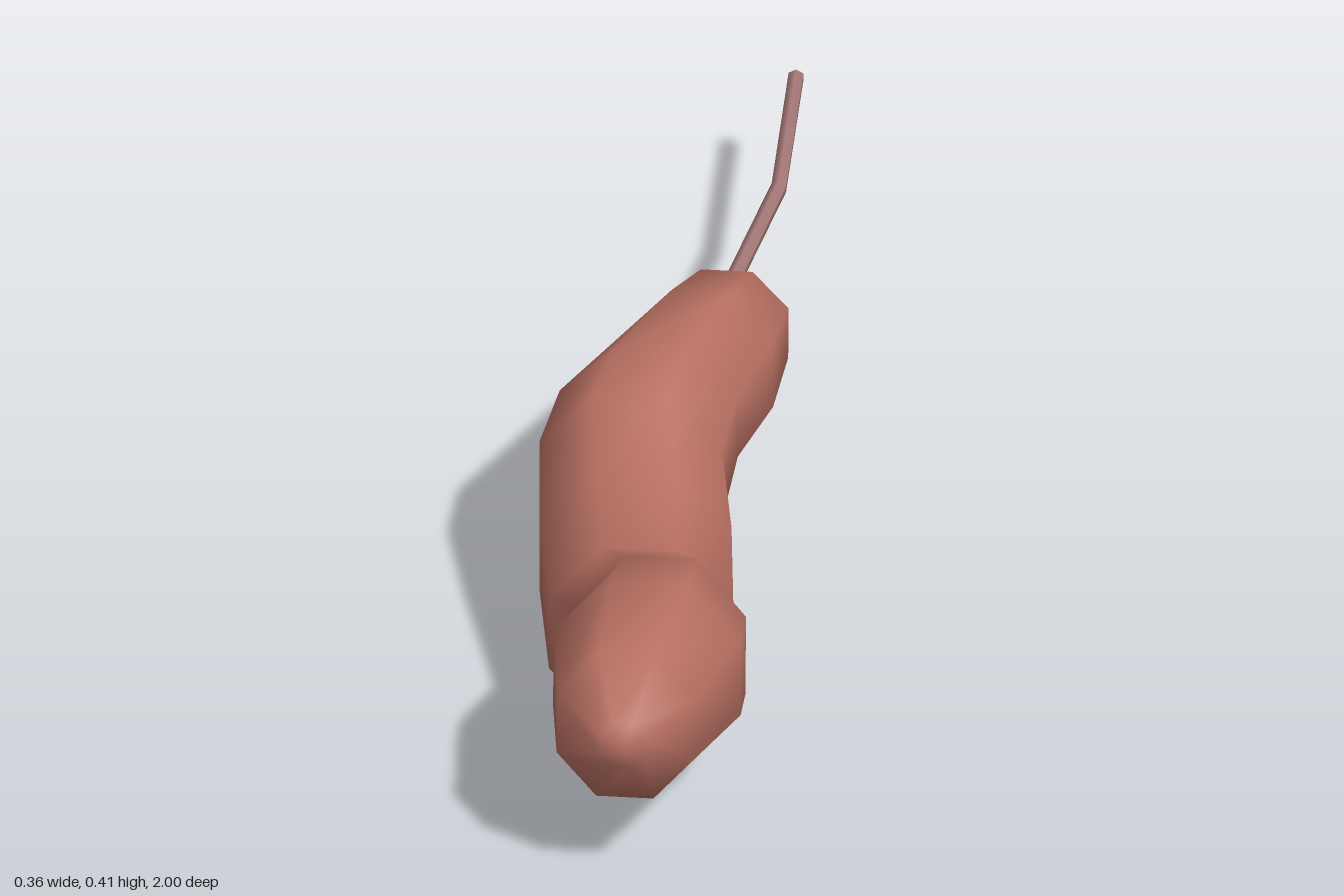
import * as THREE from 'three';

const SIDES = 8;

// Rings along the body: z, x centre, y centre, half width, half height, tilt (z shift of the top)
const RINGS = [
  [0.985, 0.02, 0.295, 0.035, 0.035, -0.005],
  [0.93, 0.02, 0.293, 0.105, 0.115, -0.02],
  [0.72, 0.033, 0.255, 0.143, 0.152, -0.02],
  [0.58, 0.04, 0.203, 0.13, 0.16, -0.015],
  [0.465, 0.0, 0.152, 0.14, 0.148, -0.015],
  [0.31, -0.023, 0.192, 0.146, 0.15, -0.01],
  [0.17, -0.043, 0.242, 0.139, 0.152, 0],
  [0.07, -0.025, 0.281, 0.135, 0.138, 0.02],
  [-0.09, 0.04, 0.277, 0.11, 0.137, -0.01],
  [-0.23, 0.065, 0.261, 0.095, 0.101, -0.01],
  [-0.33, 0.068, 0.25, 0.055, 0.05, 0],
  [-0.41, 0.055, 0.224, 0.014, 0.016, 0],
];

// Closed loft through the rings, with a point at either end
function bodyGeometry() {
  const pos = [], index = [];
  const grow = 1 / Math.cos(Math.PI / SIDES);
  for (const [z, cx, cy, w, h, tilt] of RINGS) {
    for (let i = 0; i < SIDES; i++) {
      const a = ((i + 0.5) / SIDES) * Math.PI * 2;
      const s = Math.sin(a) * grow;
      pos.push(cx + Math.cos(a) * grow * w, cy + s * h, z + s * tilt);
    }
  }
  const last = RINGS.length - 1;
  const nose = RINGS.length * SIDES, tail = nose + 1;
  pos.push(0.02, 0.297, 1, 0.056, 0.224, -0.415);
  for (let i = 0; i < SIDES; i++) {
    const j = (i + 1) % SIDES;
    index.push(nose, i, j);
    for (let r = 0; r < last; r++) {
      const a = r * SIDES + i, b = r * SIDES + j;
      index.push(a, a + SIDES, b, b, a + SIDES, b + SIDES);
    }
    index.push(tail, last * SIDES + j, last * SIDES + i);
  }
  const g = new THREE.BufferGeometry();
  g.setAttribute('position', new THREE.Float32BufferAttribute(pos, 3));
  g.setIndex(index);
  g.computeVertexNormals();
  return g;
}

export function createModel() {
  const group = new THREE.Group();
  group.name = 'sausageOnString';

  const body = new THREE.Mesh(
    bodyGeometry(),
    new THREE.MeshStandardMaterial({ color: 0xb87062 })
  );
  body.name = 'body';
  group.add(body);

  // String: straight runs with a slight bend
  const stringMaterial = new THREE.MeshStandardMaterial({ color: 0xa87a7a });
  const path = new THREE.CurvePath();
  const points = [
    new THREE.Vector3(0.05, 0.224, -0.38),
    new THREE.Vector3(0.105, 0.224, -0.7),
    new THREE.Vector3(0.1, 0.222, -1),
  ];
  for (let i = 0; i < 2; i++) path.add(new THREE.LineCurve3(points[i], points[i + 1]));
  const string = new THREE.Mesh(new THREE.TubeGeometry(path, 2, 0.013, 6), stringMaterial);
  string.name = 'string';
  group.add(string);

  // Flat end of the string
  const end = new THREE.Mesh(new THREE.CircleGeometry(0.013, 6), stringMaterial);
  end.name = 'stringEnd';
  end.position.copy(points[2]);
  end.rotation.y = Math.PI;
  group.add(end);

  return group;
}
